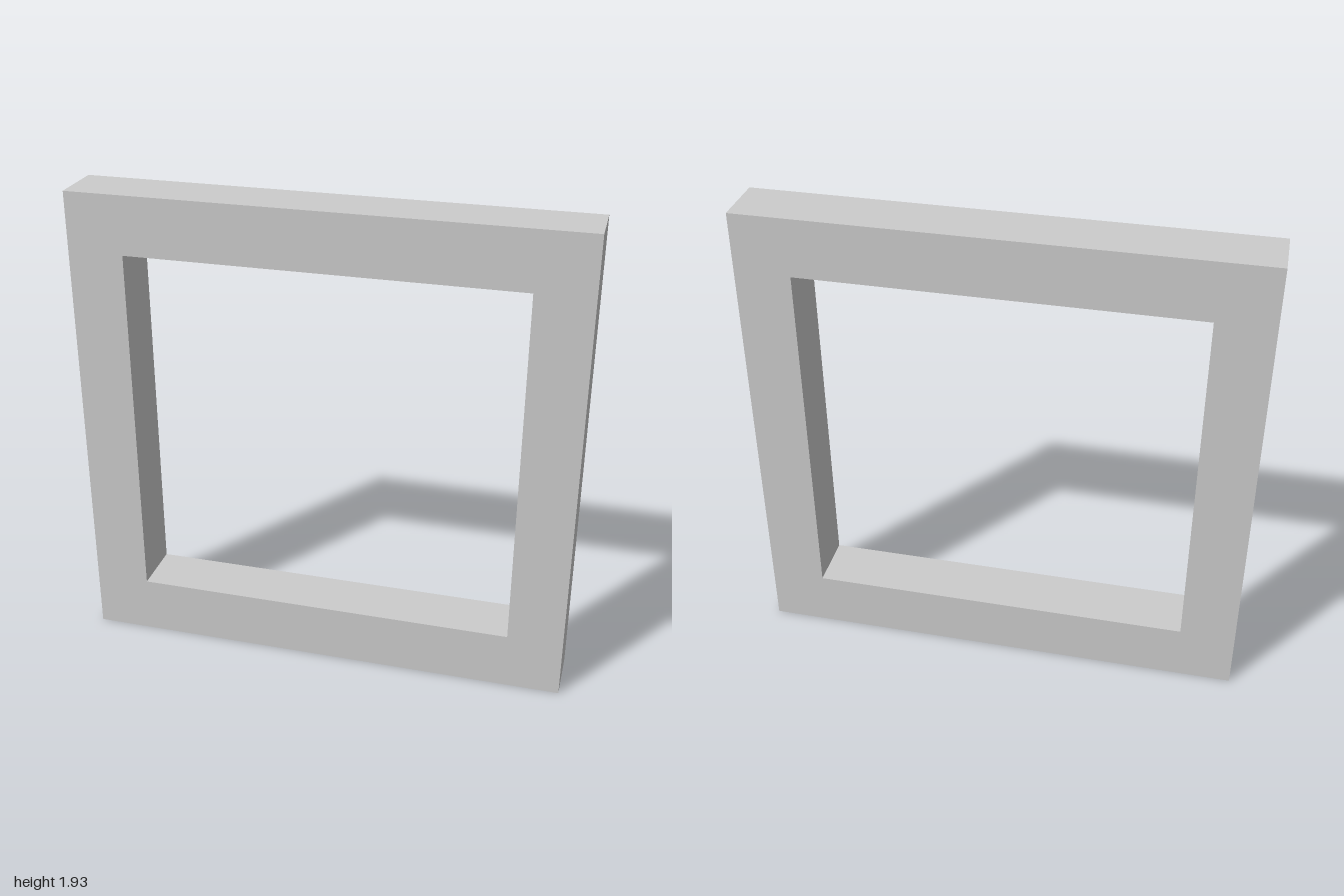
import * as THREE from 'three';

const WIDTH = 2, HEIGHT = 1.935, DEPTH = 0.23;
const HOLE_X = 0.777, HOLE_BOTTOM = 0.235, HOLE_TOP = 1.7;

// Adds a rectangle outline, counter-clockwise, to a path
function rectangle(path, x, bottom, top) {
  path.moveTo(-x, bottom);
  path.lineTo(x, bottom);
  path.lineTo(x, top);
  path.lineTo(-x, top);
  path.closePath();
  return path;
}

export function createModel() {
  const group = new THREE.Group();
  group.name = 'squareFrame';

  // Square frame with a rectangular opening, extruded front to back
  const outline = rectangle(new THREE.Shape(), WIDTH / 2, 0, HEIGHT);
  outline.holes.push(rectangle(new THREE.Path(), HOLE_X, HOLE_BOTTOM, HOLE_TOP));
  const geometry = new THREE.ExtrudeGeometry(outline, { depth: DEPTH, bevelEnabled: false });
  geometry.translate(0, 0, -DEPTH / 2);

  const frame = new THREE.Mesh(geometry, new THREE.MeshStandardMaterial({ color: 0xcccccc }));
  frame.name = 'frame';
  group.add(frame);
  return group;
}
